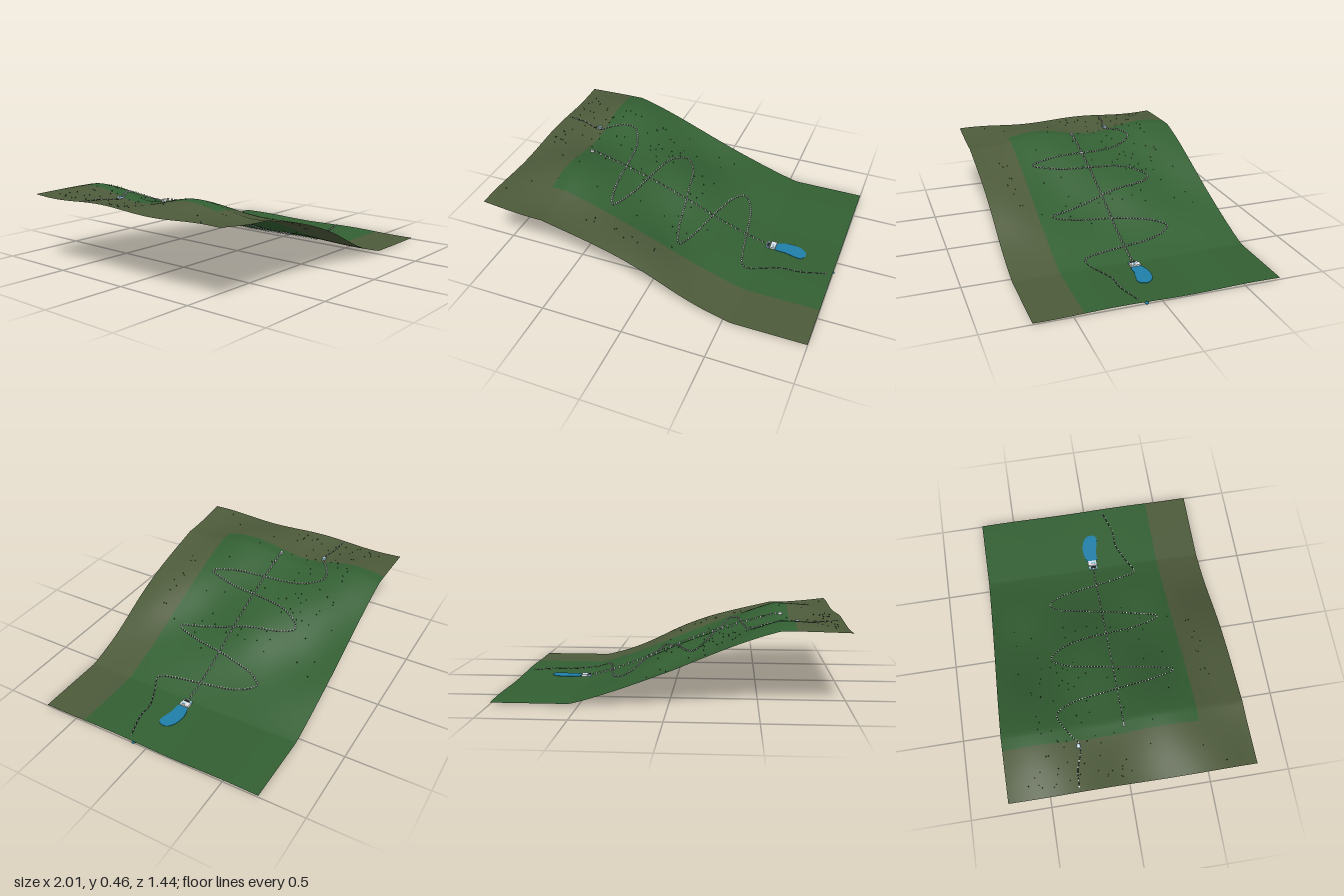
import * as THREE from 'three';

const mat = (name, color, side = THREE.FrontSide) => {
  const m = new THREE.MeshStandardMaterial({ color, side });
  m.name = name;
  return m;
};

// Height of the hillside: plateau, long slope and valley floor with gentle cross waves
function height(x, z) {
  const t = THREE.MathUtils.clamp((x + 0.62) / 1.17, 0, 1);
  const fall = 0.7 * t + 0.3 * THREE.MathUtils.smoothstep(t, 0, 1);
  const fade = 1 - 0.87 * THREE.MathUtils.smoothstep(x, 0, 0.55);
  const wave = x < 0.57 ? Math.cos(5.2 * (x + 0.64)) : 1;
  return 0.43 - 0.42 * fall + 0.029 * fade * wave * Math.cos(8 * (z - 0.24));
}

// Rectangular piece of hillside with smooth normals taken from the height rule
function terrain(x0, x1, z0, z1) {
  const nx = Math.ceil((x1 - x0) / 0.02), nz = Math.ceil((z1 - z0) / 0.03);
  const geo = new THREE.PlaneGeometry(x1 - x0, z1 - z0, nx, nz).rotateX(-Math.PI / 2);
  geo.translate((x0 + x1) / 2, 0, (z0 + z1) / 2);
  const p = geo.attributes.position, n = geo.attributes.normal;
  const v = new THREE.Vector3(), e = 0.01;
  for (let i = 0; i < p.count; i++) {
    const x = p.getX(i), z = p.getZ(i);
    p.setY(i, height(x, z));
    v.set(height(x - e, z) - height(x + e, z), 2 * e, height(x, z - e) - height(x, z + e)).normalize();
    n.setXYZ(i, v.x, v.y, v.z);
  }
  return geo;
}

// Thin flat plate from a smooth closed outline of [x, z] points
function plate(outline, thickness) {
  const pts = outline.map(([x, z]) => new THREE.Vector2(x, -z));
  const shape = new THREE.Shape(new THREE.SplineCurve([...pts, pts[0]]).getPoints(60));
  return new THREE.ExtrudeGeometry(shape, { depth: thickness, bevelEnabled: false }).rotateX(-Math.PI / 2);
}

export function createModel() {
  const root = new THREE.Group();
  const green = mat('grass green', 0x335f33, THREE.DoubleSide);
  const brown = mat('moor brown', 0x4d5a3a, THREE.DoubleSide);
  const dark = mat('dark asphalt', 0x202422);
  const pine = mat('dark pine', 0x1c3320);
  const white = mat('white', 0xeef1f2);
  const blue = mat('water blue', 0x1f7fa8);
  const pale = mat('pale blue', 0x8fc4d6);

  const group = (name) => {
    const g = new THREE.Group();
    g.name = name;
    root.add(g);
    return g;
  };
  const add = (name, geo, material, x = 0, y = 0, z = 0, parent = root) => {
    const m = new THREE.Mesh(geo, material);
    m.name = name;
    m.position.set(x, y, z);
    parent.add(m);
  };
  const box = (name, w, h, d, material, x, y, z, parent) =>
    add(name, new THREE.BoxGeometry(w, h, d), material, x, y, z, parent);

  // Hillside
  add('meadow', terrain(-0.7, 1, -0.72, 0.44), green);
  add('plateauMoor', terrain(-1, -0.7, -0.72, 0.72), brown);
  add('sideMoor', terrain(-0.7, 1, 0.44, 0.72), brown);

  // Winding road laid on the hillside
  const route = [
    [-0.97, -0.31], [-0.88, -0.305], [-0.73, -0.27], [-0.66, -0.32], [-0.53, -0.38],
    [-0.46, -0.28], [-0.42, -0.05], [-0.38, 0.24], [-0.34, 0.36], [-0.3, 0.24],
    [-0.25, -0.05], [-0.2, -0.28], [-0.13, -0.37], [-0.06, -0.28], [0, 0],
    [0.04, 0.22], [0.09, 0.35], [0.14, 0.2], [0.2, -0.08], [0.25, -0.27],
    [0.3, -0.33], [0.36, -0.25], [0.41, -0.02], [0.44, 0.15], [0.48, 0.27],
    [0.58, 0.23], [0.7, 0.18], [0.8, 0.175], [0.96, 0.13],
  ].map(([x, z]) => new THREE.Vector3(x, 0, z));
  const plan = new THREE.CatmullRomCurve3(route);
  plan.arcLengthDivisions = 1000;
  const laid = plan.getSpacedPoints(300);
  laid.forEach((p) => { p.y = height(p.x, p.z); });
  const road = new THREE.CatmullRomCurve3(laid);
  road.arcLengthDivisions = 1500;
  add('road', new THREE.TubeGeometry(road, 600, 0.0022, 4), dark);

  // White roadside markers, sparser on the level stretches
  const markers = group('roadMarkers');
  const marker = new THREE.BoxGeometry(0.007, 0.014, 0.007);
  road.getSpacedPoints(250).forEach((p, i) => {
    const level = p.x < -0.73 || p.x > 0.5;
    if (!level || i % 2 === 0) add('roadMarker', marker, white, p.x, p.y, p.z, markers);
  });

  // Straight lift line with evenly spaced posts
  const lift = group('liftLine');
  const cable = [];
  const post = new THREE.BoxGeometry(0.008, 0.016, 0.008);
  for (let i = 0; i <= 40; i++) {
    const x = -0.65 + i * 0.03, y = height(x, 0);
    add('liftPost', post, white, x, y + 0.008, 0, lift);
    cable.push(new THREE.Vector3(x, y + 0.012, 0));
  }
  add('liftCable', new THREE.TubeGeometry(new THREE.CatmullRomCurve3(cable), 120, 0.0007, 4), dark, 0, 0, 0, lift);
  box('topStation', 0.025, 0.016, 0.01, white, -0.65, height(-0.65, 0) + 0.008, 0, lift);

  // Valley station beside the lake
  const station = group('valleyStation');
  box('stationHall', 0.034, 0.016, 0.06, white, 0.593, 0.014, 0, station);
  box('stationPorch', 0.022, 0.012, 0.056, pale, 0.561, 0.012, 0, station);
  box('porchOpening', 0.014, 0.002, 0.036, dark, 0.563, 0.0185, 0.004, station);
  box('roofWindow', 0.012, 0.002, 0.026, pale, 0.594, 0.0225, 0.008, station);

  // Lake just above the valley floor, and the stream running beneath it
  const lake = plate([
    [0.61, -0.03], [0.65, -0.045], [0.7, -0.051], [0.76, -0.04], [0.8, -0.01],
    [0.805, 0.03], [0.78, 0.056], [0.74, 0.052], [0.68, 0.038], [0.61, 0.03],
  ], 0.003);
  add('lake', lake, blue, 0, 0.0105, 0);
  const stream = plate([
    [0.56, -0.012], [0.7, -0.005], [0.85, 0.03], [0.99, 0.075],
    [0.99, 0.1], [0.85, 0.055], [0.7, 0.02], [0.56, 0.012],
  ], 0.003);
  add('stream', stream, blue);

  // Small hut where the road leaves the plateau
  const hutY = height(-0.735, -0.28);
  box('hut', 0.024, 0.012, 0.024, pale, -0.735, hutY + 0.006, -0.28);
  box('hutRoof', 0.026, 0.004, 0.01, white, -0.735, hutY + 0.013, -0.28);

  // Scattered shrubs, thicker towards the top of the hill
  let seed = 7;
  const rand = () => (seed = (seed * 16807) % 2147483647) / 2147483647;
  const shrubs = group('shrubs');
  const shrub = new THREE.ConeGeometry(0.0035, 0.009, 5);
  for (let i = 0; i < 110; i++) {
    const x = -0.95 + 1.15 * Math.pow(rand(), 1.5);
    const z = i % 4 ? -0.6 + 0.6 * rand() : 0.6 * rand();
    add('shrub', shrub, pine, x, height(x, z) + 0.003, z, shrubs);
  }
  return root;
}
